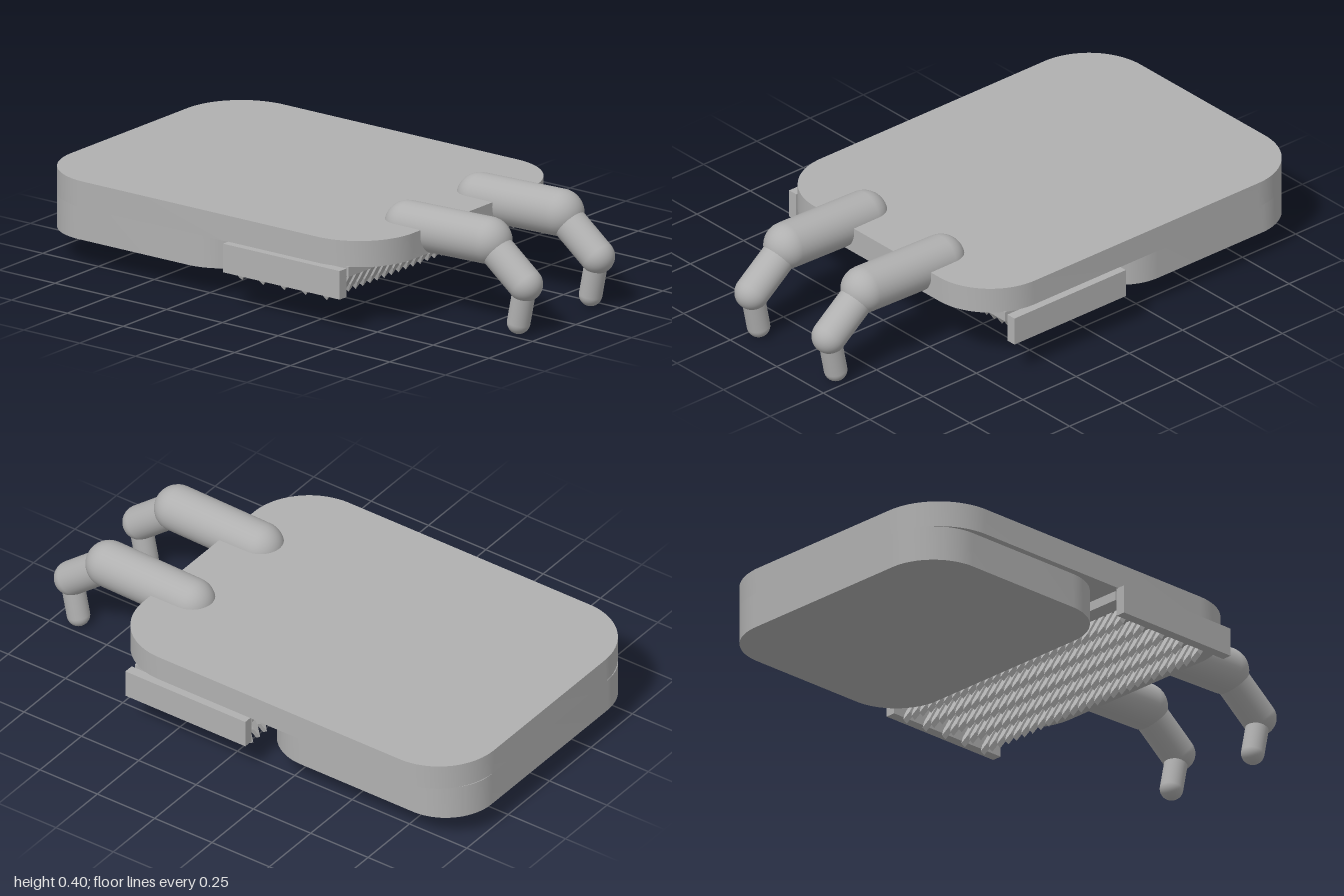
import * as THREE from 'three';
import { toCreasedNormals } from 'three/addons/utils/BufferGeometryUtils.js';

const grey = new THREE.MeshStandardMaterial({ color: 0xb0b0b0 });
grey.name = 'plain grey';

function add(parent, name, geometry) {
  const mesh = new THREE.Mesh(geometry, grey);
  mesh.name = name;
  parent.add(mesh);
  return mesh;
}

// Flat slab with rounded corners in plan, lying between y0 and y1
function roundedSlab(x0, x1, halfZ, r, y0, y1) {
  const s = new THREE.Shape();
  s.moveTo(x0 + r, -halfZ);
  s.lineTo(x1 - r, -halfZ);
  s.absarc(x1 - r, -halfZ + r, r, -Math.PI / 2, 0);
  s.absarc(x1 - r, halfZ - r, r, 0, Math.PI / 2);
  s.absarc(x0 + r, halfZ - r, r, Math.PI / 2, Math.PI);
  s.absarc(x0 + r, -halfZ + r, r, Math.PI, Math.PI * 1.5);
  const g = new THREE.ExtrudeGeometry(s, { depth: y1 - y0, bevelEnabled: false, curveSegments: 16 });
  g.rotateX(-Math.PI / 2).translate(0, y0, 0);
  return toCreasedNormals(g, 0.6);
}

function box(x0, x1, y0, y1, z0, z1) {
  return new THREE.BoxGeometry(x1 - x0, y1 - y0, z1 - z0)
    .translate((x0 + x1) / 2, (y0 + y1) / 2, (z0 + z1) / 2);
}

// Round-ended rod between two points in the x-y plane
function rod(parent, name, a, b, radius, z) {
  const from = new THREE.Vector3(a[0], a[1], z);
  const to = new THREE.Vector3(b[0], b[1], z);
  const dir = to.clone().sub(from);
  const mesh = add(parent, name, new THREE.CapsuleGeometry(radius, dir.length(), 12, 32));
  mesh.position.copy(from).add(to).multiplyScalar(0.5);
  mesh.quaternion.setFromUnitVectors(new THREE.Vector3(0, 1, 0), dir.normalize());
}

// Pointed tooth hanging from its origin, leaning towards -x
function toothGeometry(length, width, thickness, lean) {
  const w = width / 2;
  const s = new THREE.Shape();
  s.moveTo(-w, 0.01);
  s.lineTo(-w, -length * 0.7);
  s.lineTo(0, -length);
  s.lineTo(w, -length * 0.7);
  s.lineTo(w, 0.01);
  s.closePath();
  return new THREE.ExtrudeGeometry(s, { depth: thickness, bevelEnabled: false })
    .translate(0, 0, -thickness / 2)
    .rotateY(Math.PI / 2)
    .rotateZ(-lean);
}

export function createModel() {
  const model = new THREE.Group();
  model.name = 'combHead';

  // Body
  add(model, 'topSlab', roundedSlab(-1, 0.53, 0.575, 0.24, 0.235, 0.332));
  add(model, 'lowerBlock', roundedSlab(-1, -0.11, 0.55, 0.2, 0.105, 0.236));

  // Side guards
  for (const side of [-1, 1]) {
    add(model, side > 0 ? 'frontGuard' : 'backGuard',
      box(-0.11, 0.413, 0.13, 0.236, side * 0.586 - 0.019, side * 0.586 + 0.019));
  }

  // Comb: backing plate and five rows of slanted teeth
  const comb = new THREE.Group();
  comb.name = 'comb';
  model.add(comb);
  add(comb, 'combPlate', box(-0.1, 0.41, 0.2, 0.236, -0.55, 0.55));
  const tooth = toothGeometry(0.125, 0.025, 0.02, Math.PI / 6);
  const perRow = 27;
  for (let row = 0; row < 5; row++) {
    for (let i = 0; i < perRow; i++) {
      const t = add(comb, 'tooth', tooth);
      t.position.set(-0.024 + row * 0.095, 0.203, (i - (perRow - 1) / 2) * 0.0412);
    }
  }

  // Jointed fingers
  for (const side of [-1, 1]) {
    const finger = new THREE.Group();
    finger.name = side > 0 ? 'frontFinger' : 'backFinger';
    model.add(finger);
    const z = side * 0.207;
    rod(finger, 'fingerBase', [0.41, 0.312], [0.77, 0.321], 0.085, z);
    rod(finger, 'fingerMiddle', [0.77, 0.321], [0.935, 0.19], 0.063, z);
    rod(finger, 'fingerTip', [0.935, 0.19], [0.905, 0.043], 0.042, z);
  }
  return model;
}
